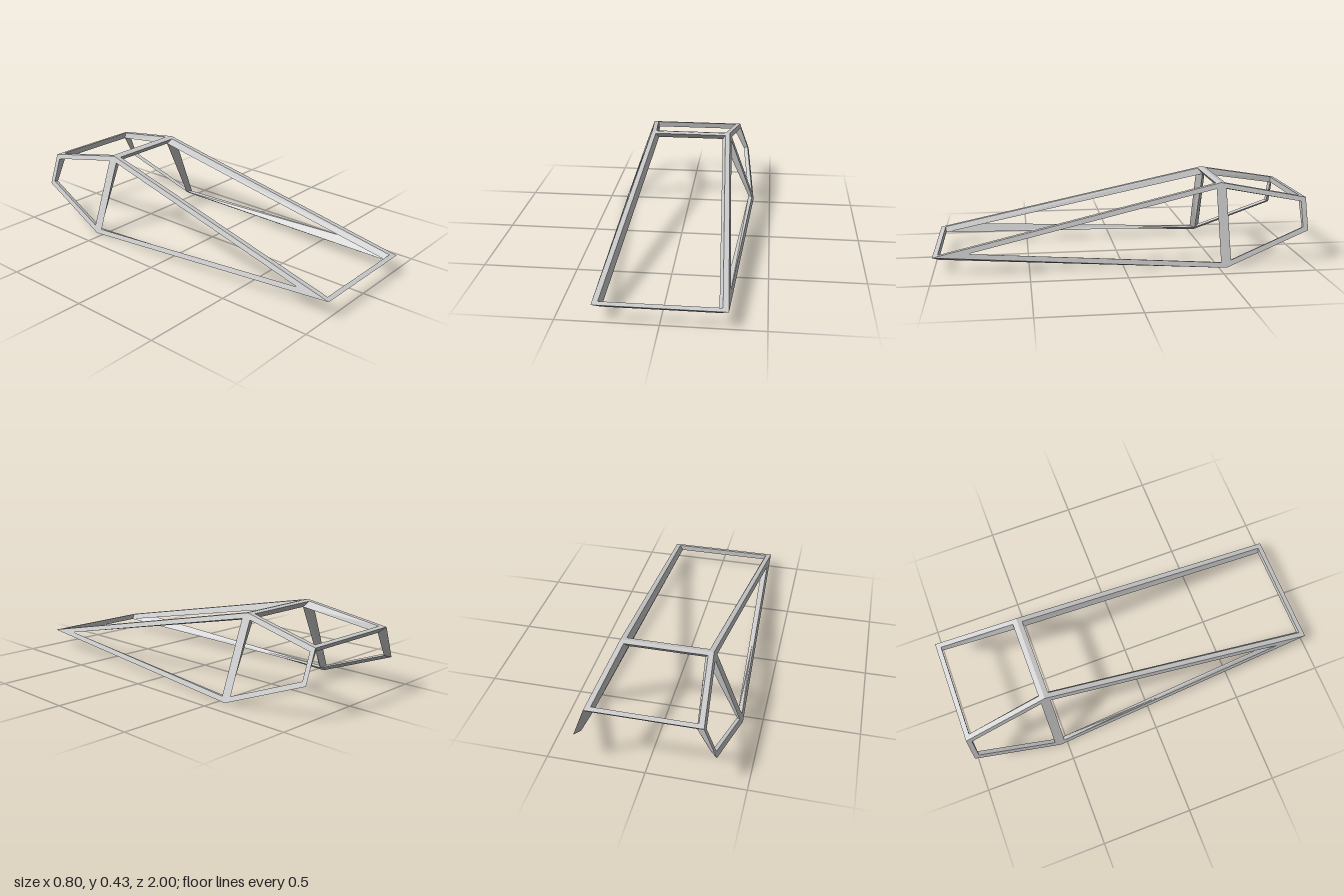
import * as THREE from 'three';

const BAR = 0.027; // bar width measured in the plane of each panel

// Corners of the left half: outer point and the inner point behind it.
const corners = {
  nose: [[0.32, 0.09, 1], [0.275, 0.066, 0.97]],
  roof: [[0.24, 0.43, -0.54], [0.197, 0.393, -0.54]],
  sill: [[0.4, 0, -0.54], [0.368, 0.021, -0.54]],
  tailTop: [[0.288, 0.347, -1], [0.25, 0.319, -0.975]],
  tailLow: [[0.35, 0.178, -1], [0.318, 0.188, -0.975]],
};

// Panels as corner loops, counter-clockwise from outside; '-' marks a mirrored corner.
const panels = {
  windscreenFrame: ['-nose', 'nose', 'roof', '-roof'],
  rearRoofFrame: ['-roof', 'roof', 'tailTop', '-tailTop'],
};
const sides = {
  SideFrontFrame: ['nose', 'sill', 'roof'],
  SideRearFrame: ['roof', 'sill', 'tailLow', 'tailTop'],
};
for (const [name, loop] of Object.entries(sides)) {
  panels['left' + name] = loop;
  panels['right' + name] = loop.map((c) => '-' + c).reverse();
}

function point(id, layer) {
  const mirrored = id[0] === '-';
  const [x, y, z] = corners[mirrored ? id.slice(1) : id][layer];
  return new THREE.Vector3(mirrored ? -x : x, y, z);
}

// Moves every corner of a loop inward so that all bars have equal width.
function inset(loop) {
  const n = loop.length;
  return loop.map((p, i) => {
    const a = loop[(i + n - 1) % n].clone().sub(p).normalize();
    const b = loop[(i + 1) % n].clone().sub(p).normalize();
    const sin = Math.sin(a.angleTo(b));
    return a.add(b).multiplyScalar(BAR / sin).add(p);
  });
}

const edgeKey = (a, b) => a + '>' + b;

export function createModel() {
  const group = new THREE.Group();
  group.name = 'canopyFrame';
  const material = new THREE.MeshStandardMaterial({
    color: 0xcccccc, flatShading: true, side: THREE.DoubleSide,
  });

  const edges = new Set();
  for (const ids of Object.values(panels)) {
    ids.forEach((id, i) => edges.add(edgeKey(id, ids[(i + 1) % ids.length])));
  }

  for (const [name, ids] of Object.entries(panels)) {
    const outer = ids.map((id) => point(id, 0));
    const inner = ids.map((id) => point(id, 1));
    const opening = inset(outer);
    const verts = [];
    const quad = (a, b, c, d) => verts.push(a, b, c, a, c, d);

    ids.forEach((id, i) => {
      const j = (i + 1) % ids.length;
      // outer face of the bar, then the wall of the opening
      quad(outer[i], outer[j], opening[j], opening[i]);
      quad(opening[i], opening[j], inner[j], inner[i]);
      // closing face where no other panel adjoins
      if (!edges.has(edgeKey(ids[j], id))) quad(inner[i], inner[j], outer[j], outer[i]);
    });

    const geometry = new THREE.BufferGeometry().setFromPoints(verts);
    geometry.computeVertexNormals();
    const mesh = new THREE.Mesh(geometry, material);
    mesh.name = name;
    group.add(mesh);
  }
  return group;
}
